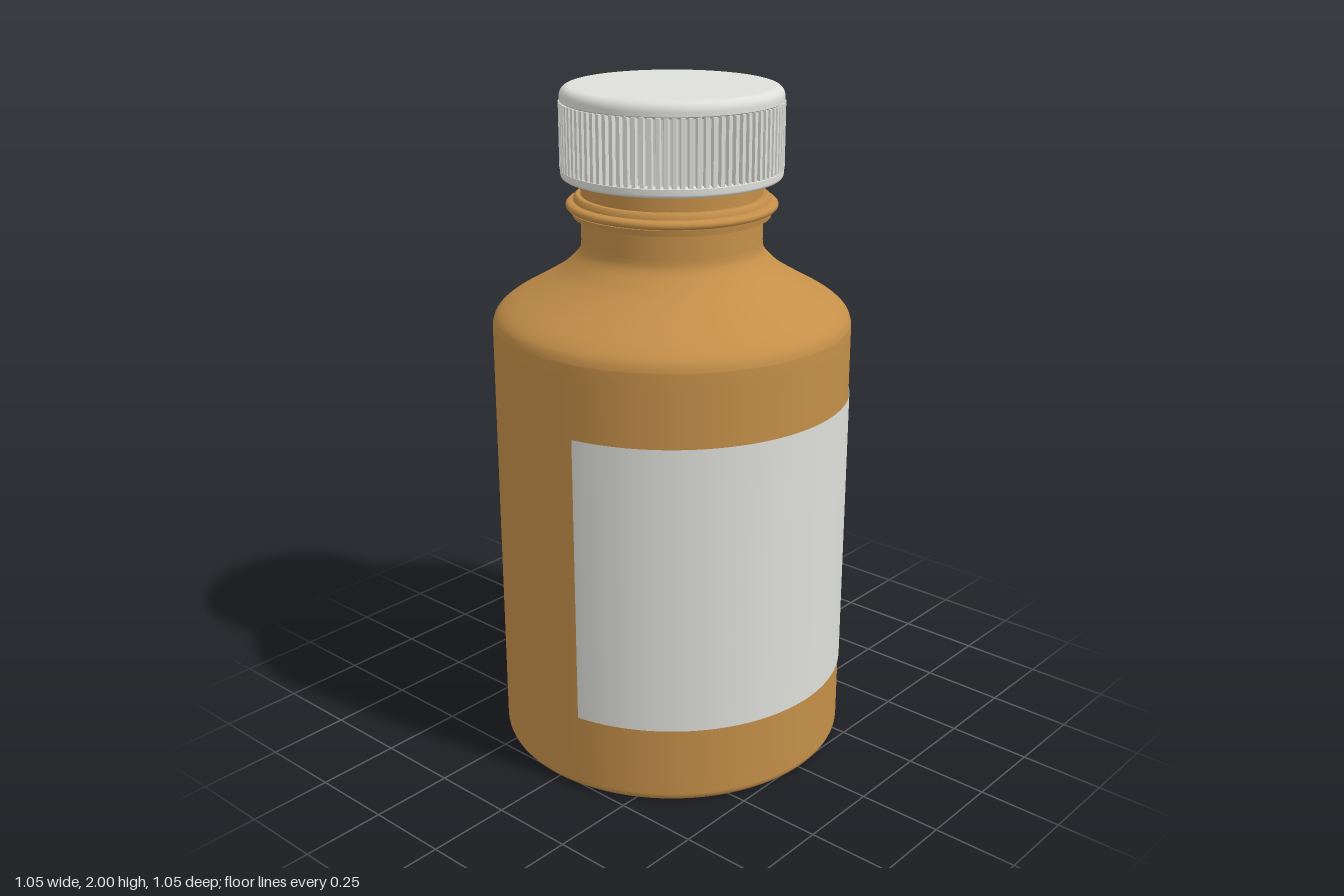
import * as THREE from 'three';

const amber = new THREE.MeshStandardMaterial({ color: 0xc48f49 });
amber.name = 'amber';
const white = new THREE.MeshStandardMaterial({ color: 0xdededa });
white.name = 'offWhite';
const paper = new THREE.MeshStandardMaterial({ color: 0xdededa, side: THREE.DoubleSide });
paper.name = 'labelPaper';

// Quarter-round corner from angle a0 to a1 (radians) about (cx, cy)
function arc(cx, cy, r, a0, a1, n = 6) {
  return Array.from({ length: n + 1 }, (_, i) => {
    const a = a0 + (a1 - a0) * i / n;
    return [cx + r * Math.cos(a), cy + r * Math.sin(a)];
  });
}

// Turned part; a repeated profile point makes a sharp edge
function turned(name, profile, material) {
  const points = profile.map(([x, y]) => new THREE.Vector2(x, y));
  const mesh = new THREE.Mesh(new THREE.LatheGeometry(points, 96), material);
  mesh.name = name;
  return mesh;
}

// Toothed ring, extruded upwards from y0 to y1
function ribbedRing(teeth, inner, outer, y0, y1) {
  const shape = new THREE.Shape();
  const step = Math.PI * 2 / teeth;
  for (let i = 0; i < teeth; i++) {
    [[0, inner], [0.25, inner], [0.38, outer], [0.87, outer]].forEach(([t, r], k) => {
      const a = (i + t) * step;
      const x = r * Math.cos(a), y = r * Math.sin(a);
      if (i === 0 && k === 0) shape.moveTo(x, y);
      else shape.lineTo(x, y);
    });
  }
  shape.closePath();
  const geo = new THREE.ExtrudeGeometry(shape, { depth: y1 - y0, bevelEnabled: false });
  geo.rotateX(-Math.PI / 2).translate(0, y0, 0);
  return geo;
}

export function createModel() {
  const model = new THREE.Group();
  model.name = 'bottle';
  const H = Math.PI / 2;

  // Body with rounded foot, sloping shoulder and neck
  const shoulder = new THREE.SplineCurve([
    [0.525, 1.32], [0.513, 1.35], [0.475, 1.382], [0.40, 1.425],
    [0.33, 1.468], [0.285, 1.508], [0.266, 1.535], [0.262, 1.56],
  ].map(([x, y]) => new THREE.Vector2(x, y))).getPoints(32).map(p => [p.x, p.y]);
  model.add(turned('body', [
    [0, 0], [0.497, 0], [0.497, 0],
    ...arc(0.497, 0.028, 0.028, -H, 0),
    [0.525, 0.1], [0.525, 1.28],
    ...shoulder,
    [0.262, 1.60], [0.262, 1.85],
  ], amber));

  // Collar ring on the neck
  model.add(turned('neckRing', [
    [0.255, 1.632], [0.285, 1.632], [0.285, 1.632], [0.288, 1.65], [0.288, 1.65],
    [0.298, 1.652], ...arc(0.294, 1.664, 0.011, -H, H), [0.283, 1.677], [0.283, 1.677],
    [0.281, 1.688], [0.274, 1.694], [0.274, 1.694], [0.255, 1.694],
  ], amber));

  // Wrap-around label covering the front
  const label = new THREE.Mesh(
    new THREE.CylinderGeometry(0.528, 0.528, 0.868, 64, 1, true,
      -THREE.MathUtils.degToRad(80), THREE.MathUtils.degToRad(160)), paper);
  label.name = 'label';
  label.position.y = 0.674;
  model.add(label);

  // Screw cap: smooth shell with a recessed band, then the grip ribs
  const cap = new THREE.Group();
  cap.name = 'cap';
  cap.add(turned('capShell', [
    [0.255, 1.743], [0.308, 1.743],
    ...arc(0.308, 1.753, 0.010, -H, 0, 4),
    [0.318, 1.768], [0.318, 1.768], [0.306, 1.776], [0.306, 1.776],
    [0.306, 1.952], [0.306, 1.952], [0.317, 1.96], [0.317, 1.96],
    ...arc(0.289, 1.972, 0.028, 0, H, 8),
    [0.27, 2.0], [0, 2.0],
  ], white));
  const ribs = new THREE.Mesh(ribbedRing(90, 0.307, 0.32, 1.77, 1.957), white);
  ribs.name = 'capRibs';
  cap.add(ribs);
  model.add(cap);

  return model;
}
